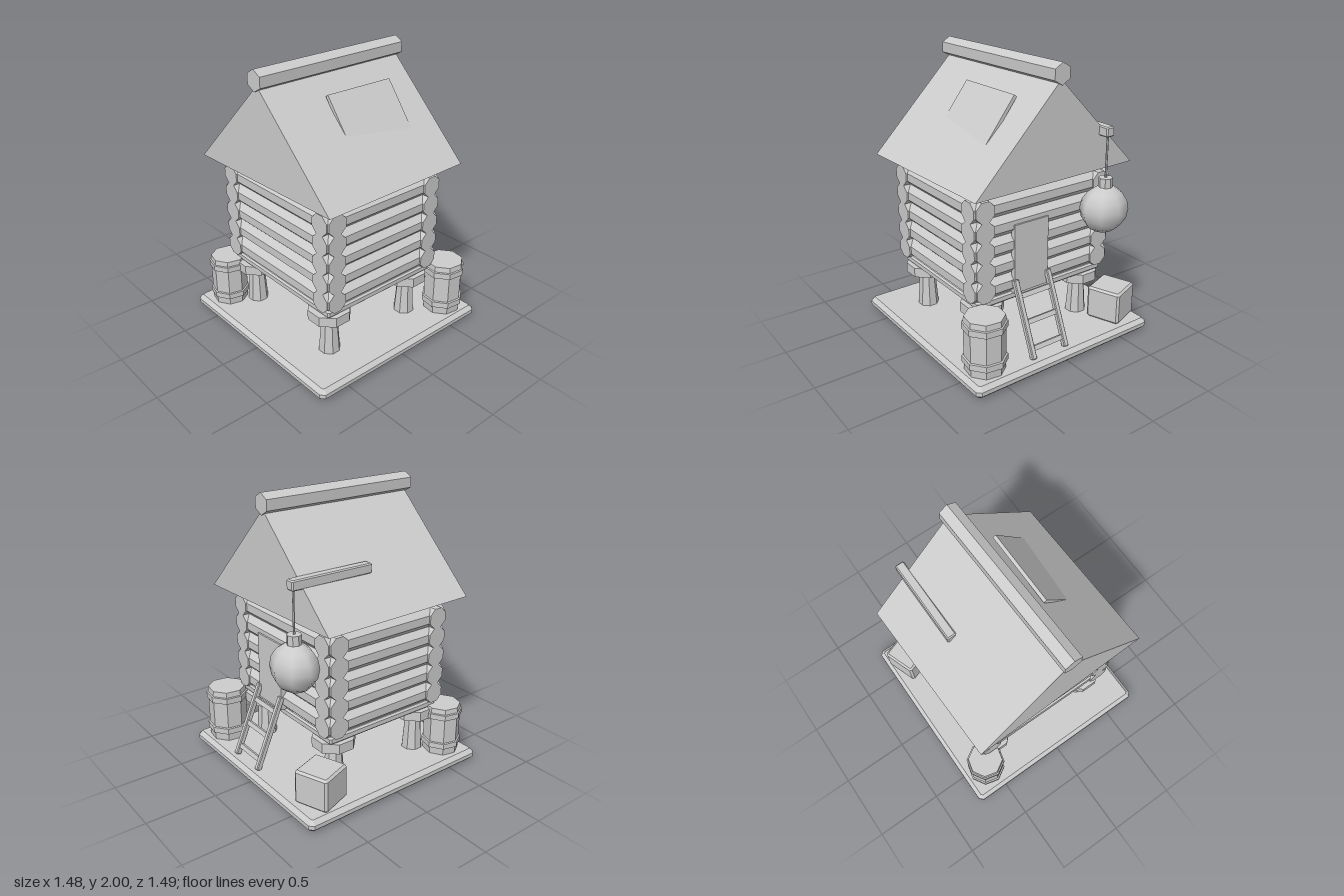
import * as THREE from 'three';

const grey = new THREE.MeshStandardMaterial({ color: 0xcccccc });
grey.name = 'plain grey';

// Faceted normals
const flat = (g) => {
  const f = g.index ? g.toNonIndexed() : g;
  f.computeVertexNormals();
  return f;
};

function add(parent, name, geo, x = 0, y = 0, z = 0) {
  const m = new THREE.Mesh(geo, grey);
  m.name = name;
  m.position.set(x, y, z);
  parent.add(m);
  return m;
}

// Box with chamfered edges, centred on its origin
function chamferBox(w, h, d, b) {
  const x = w / 2, z = d / 2;
  const s = new THREE.Shape([
    [-x + b, -z], [x - b, -z], [x, -z + b], [x, z - b],
    [x - b, z], [-x + b, z], [-x, z - b], [-x, -z + b],
  ].map(([u, v]) => new THREE.Vector2(u, v)));
  const g = new THREE.ExtrudeGeometry(s, {
    depth: h - 2 * b, bevelThickness: b, bevelSize: b, bevelOffset: -b, bevelSegments: 1,
  });
  g.translate(0, 0, -(h - 2 * b) / 2).rotateX(-Math.PI / 2);
  return flat(g);
}

// Upright prism with flat sides facing the axes
const prism = (rTop, rBottom, h, n = 8) =>
  flat(new THREE.CylinderGeometry(rTop, rBottom, h, n, 1, false, Math.PI / n));

// Barrel with two raised hoops
function barrel(r, h, x, z, turn) {
  const pts = [
    [0, 0], [0.9, 0], [0.92, 0.14], [1, 0.15], [1, 0.26], [0.92, 0.27], [0.92, 0.77],
    [1, 0.78], [1, 0.89], [0.93, 0.9], [0.9, 1], [0, 1],
  ].map(([a, b]) => new THREE.Vector2(a * r, b * h));
  const m = new THREE.Mesh(flat(new THREE.LatheGeometry(pts, 8)), grey);
  m.name = 'barrel';
  m.position.set(x, 0.085, z);
  m.rotation.y = turn;
  return m;
}

export function createModel() {
  const model = new THREE.Group();
  model.name = 'stiltLogCabin';
  const cz = 0.04;

  // Ground slab and raised floor
  add(model, 'base', chamferBox(1.48, 0.085, 1.48, 0.028), 0, 0.0425, 0);
  add(model, 'floor', chamferBox(1.06, 0.055, 0.94, 0.012), 0, 0.4525, cz);

  // Tapered stilts with wide caps
  for (const x of [-0.415, 0.415]) {
    for (const z of [-0.315, 0.405]) {
      add(model, 'stilt', prism(0.055, 0.076, 0.28), x, 0.22, z);
      add(model, 'stiltCap', prism(0.15, 0.15, 0.07), x, 0.39, z);
    }
  }

  // Log walls
  const walls = new THREE.Group();
  walls.name = 'logWalls';
  model.add(walls);
  const r = 0.07 / Math.cos(Math.PI / 8);
  const longLog = prism(r, r, 1.125).rotateZ(Math.PI / 2);
  const sideLog = prism(r, r, 1.0).rotateX(Math.PI / 2);
  for (let i = 0; i < 5; i++) {
    const y = 0.55 + i * 0.14;
    for (const s of [-1, 1]) {
      add(walls, 'longLog', longLog, 0, y, cz + s * 0.42);
      add(walls, 'sideLog', sideLog, s * 0.48, y, cz);
    }
  }

  // Door on the back wall
  add(model, 'door', new THREE.BoxGeometry(0.275, 0.49, 0.04), 0.118, 0.725, -0.443);

  // Roof, slightly askew
  const roof = new THREE.Group();
  roof.name = 'roof';
  roof.position.set(0, 0, 0.035);
  roof.rotation.y = 0.027;
  model.add(roof);
  const gable = new THREE.Shape([
    new THREE.Vector2(-0.65, 1.245), new THREE.Vector2(0.65, 1.245), new THREE.Vector2(0, 1.893),
  ]);
  add(roof, 'roofPrism', new THREE.ExtrudeGeometry(gable, { depth: 1.19, bevelEnabled: false }), 0, 0, -0.595);
  const ridge = flat(new THREE.CylinderGeometry(0.071, 0.071, 1.22, 6)).rotateX(Math.PI / 2);
  add(roof, 'ridgeBeam', ridge, 0, 1.929, 0.005);

  // Loose panel sinking into the roof slope
  const slope = Math.atan(1.3);
  const panel = new THREE.BoxGeometry(0.42, 0.025, 0.535).translate(0.21, -0.0125, 0);
  add(model, 'roofPanel', panel, 0.169, 1.782, -0.066).rotation.z = -slope;

  // Hoist beam, rope and hanging ball
  add(model, 'hoistBeam', chamferBox(0.066, 0.068, 0.615, 0.008), -0.388, 1.515, -0.318);
  add(model, 'rope', flat(new THREE.CylinderGeometry(0.008, 0.008, 0.32, 6)), -0.388, 1.34, -0.597);
  add(model, 'ballNeck', flat(new THREE.CylinderGeometry(0.048, 0.048, 0.09, 8)), -0.388, 1.155, -0.597);
  add(model, 'ball', new THREE.SphereGeometry(1, 8, 8), -0.385, 0.98, -0.597).scale.set(0.175, 0.165, 0.15);

  // Ladder leaning on the back wall
  const ladder = new THREE.Group();
  ladder.name = 'ladder';
  ladder.position.set(0.118, 0.085, -0.672);
  ladder.rotation.x = 0.4;
  model.add(ladder);
  for (const s of [-1, 1]) {
    add(ladder, 'ladderRail', chamferBox(0.037, 0.54, 0.04, 0.006), s * 0.135, 0.27, 0);
  }
  for (let i = 0; i < 3; i++) {
    add(ladder, 'ladderRung', new THREE.BoxGeometry(0.25, 0.033, 0.025), 0, 0.07 + i * 0.178, 0);
  }

  // Barrels and crate
  model.add(barrel(0.14, 0.36, -0.56, 0.555, 0.15));
  model.add(barrel(0.15, 0.39, 0.565, -0.56, 0.25));
  add(model, 'crate', chamferBox(0.25, 0.24, 0.25, 0.015), -0.56, 0.205, -0.53).rotation.y = 0.35;

  return model;
}
